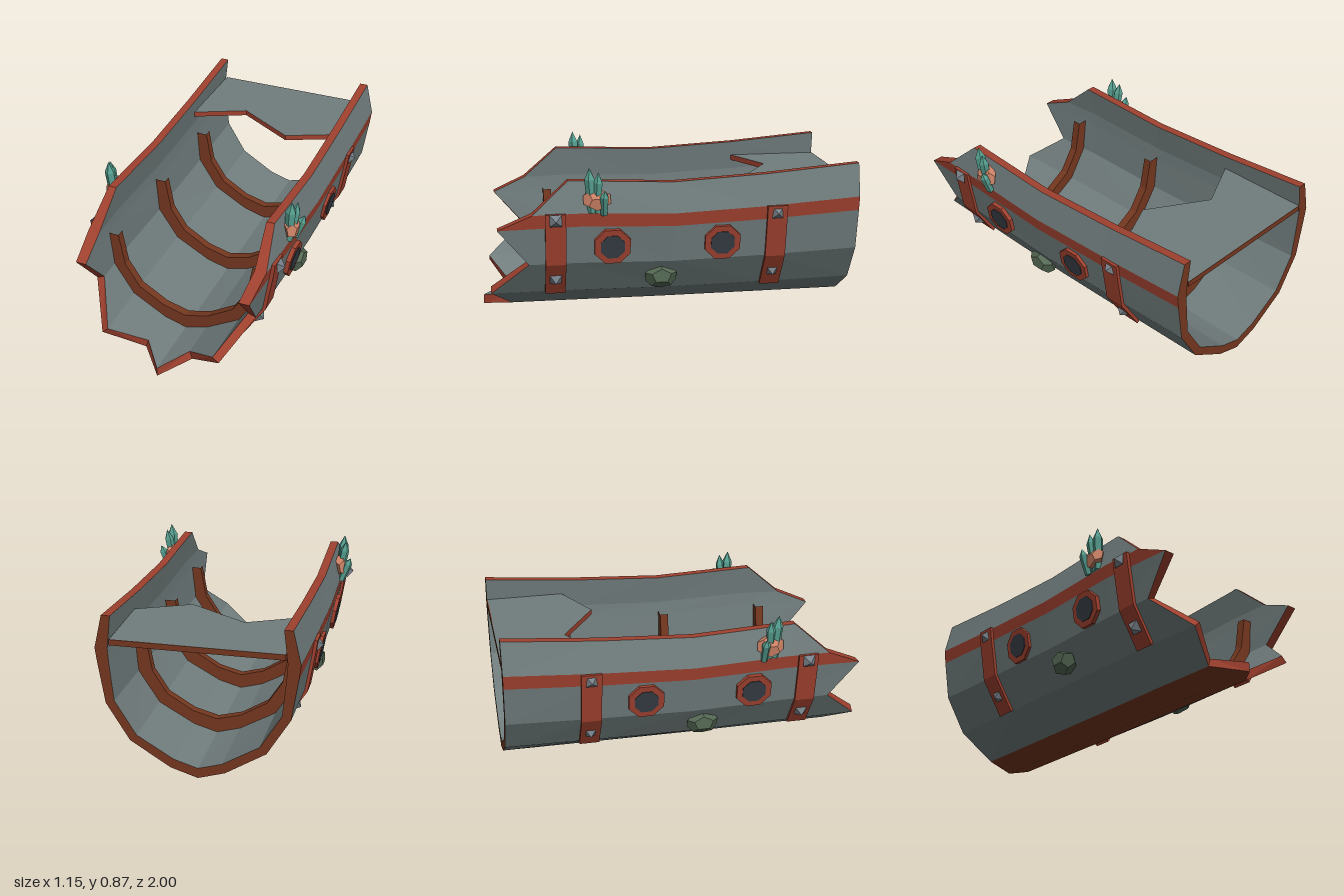
import * as THREE from 'three';

const paint = (name, color) => Object.assign(new THREE.MeshStandardMaterial({ color }), { name });

export function createModel() {
  const model = new THREE.Group();
  model.name = 'brokenHull';
  const grey = paint('weathered grey plank', 0x717d7d);
  const red = paint('red trim', 0xa0412f);
  const brown = paint('brown timber', 0x74371f);
  const dark = paint('dark glass', 0x363d45);
  const iron = paint('iron stud', 0x78828a);
  const green = paint('mossy green', 0x546853);
  const teal = paint('teal crystal', 0x57a091);
  const coral = paint('coral', 0xcd8266);

  // Faceted mesh, optionally with its mirror image on the other side
  const add = (name, geometry, material, both = true) => {
    const flat = geometry.index ? geometry.toNonIndexed() : geometry;
    flat.computeVertexNormals();
    const put = (g, label) => {
      const mesh = new THREE.Mesh(g, material);
      mesh.name = label;
      model.add(mesh);
    };
    put(flat, both ? name + 'Left' : name);
    if (!both) return;
    const other = flat.clone();
    const p = other.attributes.position;
    for (let i = 0; i < p.count; i += 3) {
      const [a, b, c] = [0, 1, 2].map(k => new THREE.Vector3().fromBufferAttribute(p, i + k));
      [a, c, b].forEach((v, k) => p.setXYZ(i + k, -v.x, v.y, v.z));
    }
    other.computeVertexNormals();
    put(other, name + 'Right');
  };
  const quads = list => {
    const pos = [];
    for (const [a, b, c, d] of list) pos.push(...a, ...b, ...c, ...a, ...c, ...d);
    const g = new THREE.BufferGeometry();
    g.setAttribute('position', new THREE.Float32BufferAttribute(pos, 3));
    return g;
  };

  // Half cross-section from keel to rail, with the ragged front end of each line
  const outer = [[0, 0], [0.14, 0.04], [0.35, 0.16], [0.47, 0.34], [0.505, 0.54], [0.515, 0.61], [0.475, 0.77]];
  const inner = [[0, 0.05], [0.125, 0.085], [0.315, 0.19], [0.425, 0.355], [0.445, 0.54], [0.45, 0.61], [0.43, 0.77]];
  const ends = [1, 0.85, 0.96, 0.76, 0.92, 0.74, 0.55];
  const stations = [-1, -0.5, 0, 0.5];
  const N = ends.length;

  // Sheer lifts the stern; the front narrows slightly
  const place = ([x, y], z) => {
    const lift = z < 0 ? 1 + 0.05 * -z + 0.04 * z * z : 1 + 0.03 * Math.min(1, z / 0.55);
    const narrow = z > 0 ? 1 - 0.06 * z * z : 1;
    return [x * narrow, y * (z > 0.6 ? 1.03 - 0.08 * (z - 0.6) : lift), z];
  };
  const zAt = (i, k) => (k < stations.length ? stations[k] : ends[i]);
  const O = (i, k) => place(outer[i], zAt(i, k));
  const I = (i, k) => place(inner[i], zAt(i, k));
  const last = stations.length;

  // Hull skin, keel strip, trim strake and cut edges
  const skin = [], keel = [], strake = [], frontRim = [], backRim = [], rail = [];
  for (let i = 0; i < N - 1; i++) {
    const target = i === 0 ? keel : i === 4 ? strake : skin;
    for (let k = 0; k < last; k++) {
      target.push([O(i, k), O(i + 1, k), O(i + 1, k + 1), O(i, k + 1)]);
      skin.push([I(i, k), I(i, k + 1), I(i + 1, k + 1), I(i + 1, k)]);
    }
    frontRim.push([O(i, last), O(i + 1, last), I(i + 1, last), I(i, last)]);
    backRim.push([O(i, 0), I(i, 0), I(i + 1, 0), O(i + 1, 0)]);
  }
  for (let k = 0; k < last; k++) rail.push([O(N - 1, k), I(N - 1, k), I(N - 1, k + 1), O(N - 1, k + 1)]);
  add('hullSkin', quads(skin), grey);
  add('keelStrip', quads(keel), brown);
  add('trimStrake', quads(strake), red);
  add('brokenFrontEdge', quads(frontRim), red);
  add('backEdge', quads(backRim), brown);
  add('topRail', quads(rail), red);

  // Inner ribs, open at the top
  const ribInner = [[0, 0.13], [0.13, 0.165], [0.27, 0.25], [0.35, 0.375], [0.382, 0.555]];
  const ribOuter = [...inner.slice(0, 4), [0.44, 0.555]];
  [0.61, 0.025, -0.56].forEach((z, n) => {
    const f = z + 0.023, b = z - 0.023, list = [];
    for (let i = 0; i < 4; i++) {
      const [p, q, r, s] = [ribOuter[i], ribOuter[i + 1], ribInner[i + 1], ribInner[i]];
      list.push([[...p, f], [...q, f], [...r, f], [...s, f]]);
      list.push([[...p, b], [...s, b], [...r, b], [...q, b]]);
      list.push([[...s, b], [...s, f], [...r, f], [...r, b]]);
    }
    add('rib' + (n + 1), quads(list), brown);
  });

  // Broken stern deck
  const edge = [[-0.44, 1], [0.44, 1], [0.44, 0.57], [0.16, 0.44], [-0.16, 0.635], [-0.44, 0.5]];
  const deck = new THREE.ExtrudeGeometry(
    new THREE.Shape(edge.map(([x, y]) => new THREE.Vector2(x, y))), { depth: 0.03, bevelEnabled: false });
  deck.rotateX(-Math.PI / 2).translate(0, 0.685, 0);
  add('sternDeck', deck, [grey, red], false);
  add('deckBackEdge', new THREE.BoxGeometry(0.88, 0.03, 0.006).translate(0, 0.7, -0.999), brown, false);

  // Turns a +y part outward, tilts it and sets it on the hull side
  const mount = (g, x, y, z, tilt) => g.rotateZ(-Math.PI / 2 + tilt).translate(x, y, z);

  // Straps with pyramid studs
  [0.62, -0.55].forEach((z, n) => {
    const list = [], lo = [], hi = [];
    for (let i = 2; i <= 5; i++) {
      const a = new THREE.Vector2(...outer[i]);
      const dir = a.clone().sub(new THREE.Vector2(...inner[i])).normalize();
      lo.push(a.clone().addScaledVector(dir, -0.01).toArray());
      hi.push(a.clone().addScaledVector(dir, 0.017).toArray());
    }
    const b = z - 0.054, f = z + 0.054;
    for (let i = 0; i < 3; i++) {
      const at = (p, w) => place(p, z).slice(0, 2).concat(w);
      list.push([at(hi[i], b), at(hi[i + 1], b), at(hi[i + 1], f), at(hi[i], f)]);
      list.push([at(hi[i], f), at(hi[i + 1], f), at(lo[i + 1], f), at(lo[i], f)]);
      list.push([at(hi[i], b), at(lo[i], b), at(lo[i + 1], b), at(hi[i + 1], b)]);
      if (i === 0) list.push([at(lo[0], b), at(hi[0], b), at(hi[0], f), at(lo[0], f)]);
      if (i === 2) list.push([at(hi[3], b), at(lo[3], b), at(lo[3], f), at(hi[3], f)]);
    }
    add('strap' + (n + 1), quads(list), red);
    for (const [x, y, tilt] of [[0.538, 0.595, 0], [0.43, 0.24, -0.58]]) {
      const stud = new THREE.ConeGeometry(0.044, 0.034, 4).rotateY(Math.PI / 4);
      add('stud' + (n + 1), mount(stud, x, y, z, tilt), iron);
    }
  });

  // Octagonal portholes
  [0.325, -0.26].forEach((z, n) => {
    const disc = (r, h) => mount(new THREE.CylinderGeometry(r, r, h, 8).rotateY(Math.PI / 8), 0.489, 0.442, z, -0.17);
    add('portholeFrame' + (n + 1), disc(0.102, 0.03), red);
    add('portholeGlass' + (n + 1), disc(0.068, 0.038), dark);
  });

  // Growths clinging to the sides
  add('mossLump', new THREE.DodecahedronGeometry(0.09).scale(0.6, 0.76, 1).rotateZ(-0.4).translate(0.425, 0.245, 0.06), green);
  add('coralLump', new THREE.DodecahedronGeometry(0.08).scale(0.5, 0.8, 0.95).rotateZ(0.2).translate(0.51, 0.7, 0.405), coral);
  const crystals = [
    [0.5, 0.63, 0.43, 0.24, 0.029, -0.08, 0.06],
    [0.5, 0.63, 0.405, 0.22, 0.026, -0.16, -0.03],
    [0.515, 0.62, 0.37, 0.145, 0.024, -0.35, 0],
  ];
  crystals.forEach(([x, y, z, h, r, leanZ, leanX], n) => {
    const profile = [[0, 0], [r * 0.8, 0], [r, h * 0.75], [0, h]].map(p => new THREE.Vector2(...p));
    const g = new THREE.LatheGeometry(profile, 5).rotateX(leanX).rotateZ(leanZ).translate(x, y, z);
    add('crystal' + (n + 1), g, teal);
  });

  return model;
}
